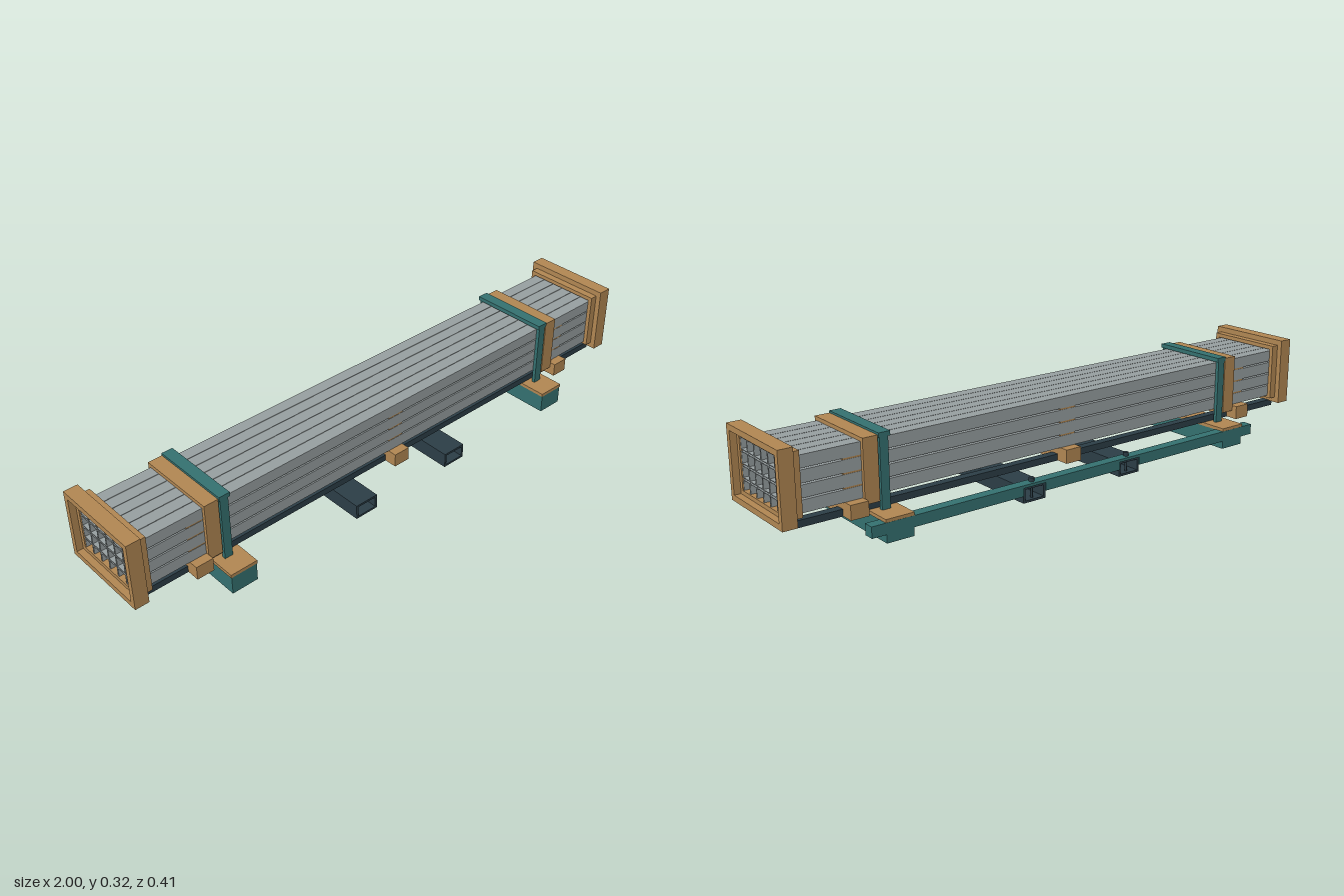
import * as THREE from 'three';

const mat = (name, color) => {
  const m = new THREE.MeshStandardMaterial({ color });
  m.name = name;
  return m;
};

export function createModel() {
  const root = new THREE.Group();
  root.name = 'tubeBundleOnSkid';
  const wood = mat('wood', 0xb08652);
  const teal = mat('teal', 0x34706f);
  const dark = mat('darkSteel', 0x2b3d46);
  const steel = mat('steel', 0x969e9f);

  const add = (name, geo, material, parent = root) => {
    const m = new THREE.Mesh(geo, material);
    m.name = name;
    parent.add(m);
    return m;
  };

  // Box given by its min and max on each axis
  const box = (name, material, [x0, x1], [y0, y1], [z0, z1], parent) => {
    const g = new THREE.BoxGeometry(x1 - x0, y1 - y0, z1 - z0);
    g.translate((x0 + x1) / 2, (y0 + y1) / 2, (z0 + z1) / 2);
    return add(name, g, material, parent);
  };

  // Rectangular ring (outer w x h, hole w x h) centred on the origin, extruded along z
  const rectPath = (P, w, h) => new P()
    .moveTo(-w / 2, -h / 2).lineTo(w / 2, -h / 2).lineTo(w / 2, h / 2).lineTo(-w / 2, h / 2).closePath();
  const ring = (w, h, iw, ih, depth) => {
    const s = rectPath(THREE.Shape, w, h);
    s.holes.push(rectPath(THREE.Path, iw, ih));
    return new THREE.ExtrudeGeometry(s, { depth, bevelEnabled: false }).translate(0, 0, -depth / 2);
  };
  const alongX = (g) => g.rotateY(Math.PI / 2);

  // Bundle of hollow square tubes, six wide and four high
  const bundle = new THREE.Group();
  bundle.name = 'tubeBundle';
  root.add(bundle);
  const tubeW = 0.0397, tubeH = 0.0375, pitchZ = 0.0416, pitchY = 0.0425, bottom = 0.118;
  const tubeGeo = alongX(ring(tubeW, tubeH, tubeW - 0.004, tubeH - 0.004, 1.95));
  for (let r = 0; r < 4; r++) {
    for (let c = 0; c < 6; c++) {
      add('tube', tubeGeo, steel, bundle)
        .position.set(0, bottom + tubeH / 2 + r * pitchY, (c - 2.5) * pitchZ);
    }
  }

  // Cross battens below the bundle and thin spacers between its rows
  for (const x of [-0.765, 0, 0.765]) {
    const span = [x - 0.029, x + 0.029];
    box('batten', wood, span, [0.073, bottom], [-0.154, 0.154]);
    for (let r = 1; r < 4; r++) {
      const y = bottom + r * pitchY;
      box('rowSpacer', wood, span, [y - 0.005, y], [-0.123, 0.123]);
    }
  }

  // Long rails under the battens
  for (const z of [-0.096, 0.096]) {
    box('rail', dark, [-0.97, 0.97], [0.0725, 0.094], [z - 0.014, z + 0.014]);
  }

  for (const s of [-1, 1]) {
    const side = new THREE.Group();
    side.name = s > 0 ? 'leftEnd' : 'rightEnd';
    root.add(side);
    const span = (a, b) => (s > 0 ? [a, b] : [-b, -a]);

    // End frame: outer border around a narrower inner frame
    add('endFrameOuter', alongX(ring(0.309, 0.228, 0.274, 0.191, 0.046)), wood, side)
      .position.set(s * 0.977, 0.206, 0);
    add('endFrameInner', alongX(ring(0.274, 0.191, 0.247, 0.164, 0.05)), wood, side)
      .position.set(s * 0.954, 0.2055, 0);

    // Timber collar around the bundle
    add('collar', alongX(ring(0.27, 0.195, 0.247, 0.168, 0.048)), wood, side)
      .position.set(s * 0.713, 0.1975, 0);

    // Clamp: two posts and a cap
    for (const z of [-0.13, 0.13]) {
      box('clampPost', teal, span(0.656, 0.684), [0.072, 0.29], [z - 0.006, z + 0.006], side);
    }
    box('clampCap', teal, span(0.65, 0.688), [0.287, 0.301], [-0.138, 0.138], side);

    // Foot with a timber pad
    box('foot', teal, span(0.622, 0.712), [0, 0.061], [-0.202, 0.202], side);
    box('footPad', wood, span(0.62, 0.714), [0.061, 0.072], [-0.203, 0.203], side);

    // Fork pocket, held to the tie bar by a bolt
    add('forkPocket', ring(0.084, 0.05, 0.07, 0.036, 0.4), dark, side).position.set(s * 0.192, 0.028, 0);
    add('boltShaft', new THREE.CylinderGeometry(0.004, 0.004, 0.07, 10), dark, side)
      .position.set(s * 0.192, 0.038, -0.185);
    add('boltHead', new THREE.CylinderGeometry(0.009, 0.009, 0.013, 6), dark, side)
      .position.set(s * 0.192, 0.068, -0.185);
  }

  // Tie bar along the back, notched over the fork pockets
  const bar = new THREE.Shape().moveTo(-0.76, 0.062).lineTo(-0.76, 0.027);
  for (const x of [-0.192, 0.192]) {
    bar.lineTo(x - 0.042, 0.027).lineTo(x - 0.042, 0.053).lineTo(x + 0.042, 0.053).lineTo(x + 0.042, 0.027);
  }
  bar.lineTo(0.76, 0.027).lineTo(0.76, 0.062).closePath();
  add('tieBar', new THREE.ExtrudeGeometry(bar, { depth: 0.035, bevelEnabled: false }), teal)
    .position.z = -0.2035;

  return root;
}
